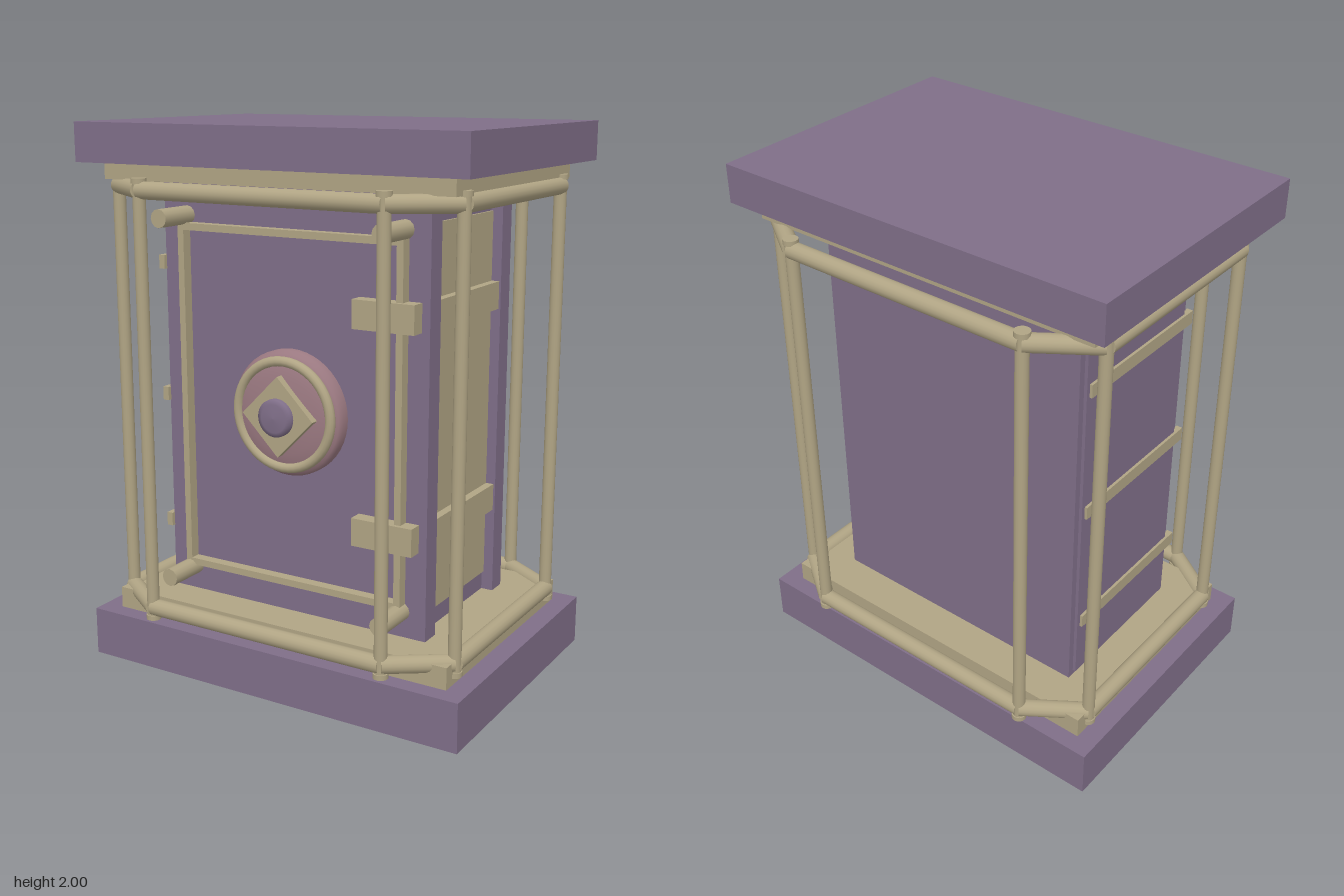
import * as THREE from 'three';

export function createModel() {
  const root = new THREE.Group();
  const mat = (name, color) => {
    const m = new THREE.MeshStandardMaterial({ color });
    m.name = name;
    return m;
  };
  const purple = mat('dusty purple', 0x7f6e88);
  const tan = mat('tan metal', 0xb0a484);
  const pink = mat('dusty pink', 0x9c7a82);

  const add = (name, geo, material, x = 0, y = 0, z = 0) => {
    const mesh = new THREE.Mesh(geo, material);
    mesh.name = name;
    mesh.position.set(x, y, z);
    root.add(mesh);
    return mesh;
  };
  // box given by its extents on each axis
  const box = (name, material, [x0, x1], [y0, y1], [z0, z1]) =>
    add(name, new THREE.BoxGeometry(x1 - x0, y1 - y0, z1 - z0), material,
      (x0 + x1) / 2, (y0 + y1) / 2, (z0 + z1) / 2);
  // round bar between two points
  const bar = (name, a, b, r) => {
    const dir = b.clone().sub(a);
    const mesh = add(name, new THREE.CylinderGeometry(r, r, dir.length(), 16), tan);
    mesh.position.copy(a).add(b).multiplyScalar(0.5);
    mesh.quaternion.setFromUnitVectors(new THREE.Vector3(0, 1, 0), dir.normalize());
  };

  // slabs and the thinner plates against them
  box('baseSlab', purple, [-0.765, 0.765], [0, 0.18], [-0.525, 0.525]);
  box('topSlab', purple, [-0.765, 0.765], [1.86, 2], [-0.525, 0.525]);
  box('basePlate', tan, [-0.69, 0.69], [0.18, 0.26], [-0.46, 0.46]);
  box('topPlate', tan, [-0.69, 0.69], [1.8, 1.86], [-0.46, 0.46]);

  // safe body, with front and back flanges around a recessed left side
  const bodyY = [0.26, 1.8];
  box('bodyCore', purple, [-0.54, 0.49], bodyY, [-0.235, 0.24]);
  box('frontWall', purple, [-0.54, 0.535], bodyY, [0.24, 0.315]);
  box('backWall', purple, [-0.54, 0.535], bodyY, [-0.31, -0.235]);
  box('leftPanel', tan, [0.49, 0.498], [0.33, 1.69], [-0.235, 0.24]);
  box('rightPanel', purple, [-0.552, -0.54], [0.28, 1.74], [-0.285, 0.29]);

  // hinges with their side bands
  for (const y of [0.63, 1.39]) {
    const h = [y - 0.05, y + 0.05];
    box('hinge', tan, [0.27, 0.505], h, [0.315, 0.37]);
    box('sideBand', tan, [0.49, 0.528], h, [-0.235, 0.24]);
  }
  // straps on the right side
  for (const y of [0.52, 1.01, 1.5])
    box('sideStrap', tan, [-0.562, -0.538], [y - 0.025, y + 0.025], [-0.27, 0.33]);

  // raised door trim
  const trim = new THREE.Shape();
  trim.moveTo(-0.455, 0.37).lineTo(0.455, 0.37).lineTo(0.455, 1.65).lineTo(-0.455, 1.65);
  const hole = new THREE.Path();
  hole.moveTo(-0.43, 0.395).lineTo(-0.43, 1.625).lineTo(0.43, 1.625).lineTo(0.43, 0.395);
  trim.holes.push(hole);
  add('doorTrim', new THREE.ExtrudeGeometry(trim, { depth: 0.04, bevelEnabled: false }), tan, 0, 0, 0.315);

  // corner knobs of the door
  for (const x of [-0.44, 0.44])
    for (const y of [0.355, 1.675])
      add('cornerKnob', new THREE.CylinderGeometry(0.033, 0.033, 0.165, 12), tan, x, y, 0.3975).rotation.x = Math.PI / 2;

  // dial: dome, ring, diamond plate and hub
  const cy = 1.01;
  const profile = [[0.225, 0], [0.225, 0.03], [0.215, 0.045], [0.19, 0.058], [0.14, 0.07], [0.07, 0.077], [0, 0.08]];
  const dome = new THREE.LatheGeometry(profile.map(([r, h]) => new THREE.Vector2(r, h)), 48);
  add('dialDome', dome, pink, 0, cy, 0.315).rotation.x = Math.PI / 2;
  add('dialRing', new THREE.TorusGeometry(0.19, 0.018, 12, 48), tan, 0, cy, 0.373);
  add('dialDiamond', new THREE.BoxGeometry(0.203, 0.203, 0.05), tan, 0, cy, 0.39).rotation.z = Math.PI / 4;
  const hub = [[0.067, 0], [0.067, 0.032], [0.05, 0.038], [0, 0.042]];
  add('dialHub', new THREE.LatheGeometry(hub.map(([r, h]) => new THREE.Vector2(r, h)), 32), purple, 0, cy, 0.4)
    .rotation.x = Math.PI / 2;

  // cage of eight posts joined by two eight-sided rails
  const ring = [[0.48, 0.53], [0.685, 0.39], [0.685, -0.39], [0.48, -0.53],
    [-0.48, -0.53], [-0.685, -0.39], [-0.685, 0.39], [-0.48, 0.53]];
  ring.forEach(([x, z], i) => {
    const [nx, nz] = ring[(i + 1) % 8];
    bar('cagePost', new THREE.Vector3(x, 0.205, z), new THREE.Vector3(x, 1.815, z), 0.023);
    for (const y of [0.213, 1.807])
      add('postCap', new THREE.CylinderGeometry(0.027, 0.027, 0.018, 16), tan, x, y, z);
    for (const y of [0.25, 1.775])
      bar('cageRail', new THREE.Vector3(x, y, z), new THREE.Vector3(nx, y, nz), 0.031);
  });

  return root;
}
